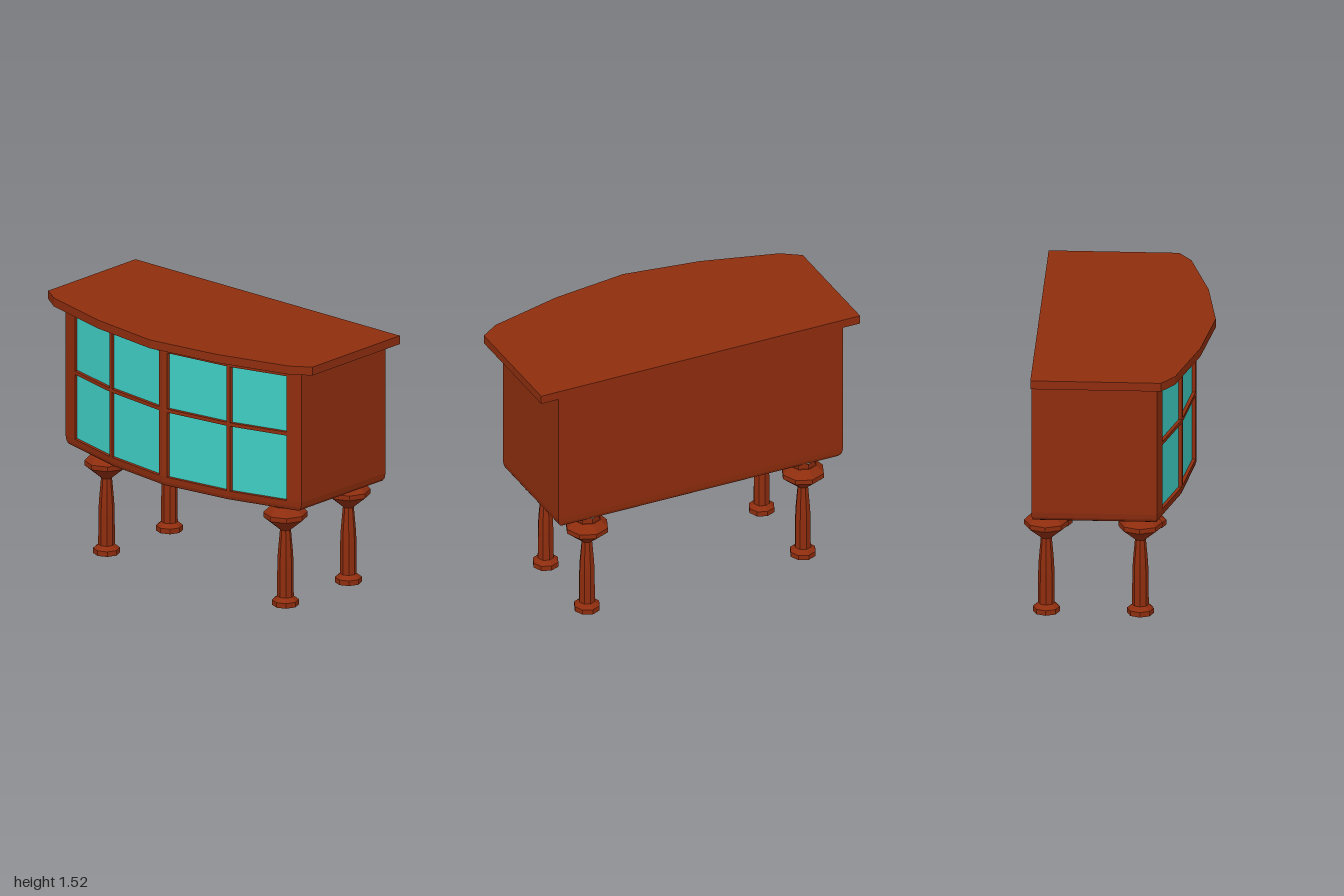
import * as THREE from 'three';

const W = 0.893;      // half width of the cabinet
const BACK = -0.472;  // plane of the back
const PANE_Y = [[0.68, 1.066], [1.087, 1.42]];
const PANE_X = [[-0.8, -0.457], [-0.434, -0.03], [0.03, 0.434], [0.457, 0.8]];

// Front of the cabinet in plan: a bow of four straight facets
function bowZ(x) {
  const a = Math.abs(x);
  return a < 0.45
    ? THREE.MathUtils.mapLinear(a, 0, 0.45, 0.415, 0.357)
    : THREE.MathUtils.mapLinear(a, 0.45, W, 0.357, 0.238);
}

// Points along the bow from x0 to x1, moved back by inset
function bowPoints(x0, x1, inset) {
  const kinks = [-0.45, 0, 0.45].filter((x) => x > x0 && x < x1);
  return [x0, ...kinks, x1].map((x) => [x, bowZ(x) - inset]);
}

// Upright prism over a plan outline of [x, z] points
function prism(outline, y0, y1, steps = 1) {
  const shape = new THREE.Shape(outline.map(([x, z]) => new THREE.Vector2(x, -z)));
  const geo = new THREE.ExtrudeGeometry(shape, { depth: y1 - y0, steps, bevelEnabled: false });
  return geo.rotateX(-Math.PI / 2).translate(0, y0, 0);
}

// Strip that follows the bow between two insets
function bowStrip(x0, x1, y0, y1, inset0, inset1) {
  return prism([...bowPoints(x0, x1, inset0), ...bowPoints(x0, x1, inset1).reverse()], y0, y1);
}

// Full cabinet plan with its front moved back by inset
const plan = (inset) => [[-W, BACK], ...bowPoints(-W, W, inset), [W, BACK]];

// Bottom of the cabinet with a rounded lower edge
function baseGeometry() {
  const levels = [[0.624, 0.963], [0.632, 0.982], [0.648, 0.994], [0.68, 1]];
  const geo = prism(plan(0), 0, 3, 3);
  const p = geo.attributes.position;
  for (let i = 0; i < p.count; i++) {
    const [y, s] = levels[Math.round(p.getY(i))];
    p.setXYZ(i, p.getX(i) * s, y, (p.getZ(i) + 0.03) * s - 0.03);
  }
  geo.computeVertexNormals();
  return geo;
}

// Eight-sided turned leg
function legGeometry() {
  const profile = [
    [0, 0], [0.076, 0], [0.076, 0.03], [0.047, 0.053], [0.046, 0.24], [0.043, 0.31],
    [0.031, 0.448], [0.125, 0.524], [0.125, 0.552], [0.08, 0.597], [0.074, 0.597], [0.074, 0.63],
  ].map(([r, y]) => new THREE.Vector2(r, y));
  const geo = new THREE.LatheGeometry(profile, 8).toNonIndexed();
  geo.computeVertexNormals();
  return geo;
}

export function createModel() {
  const model = new THREE.Group();
  model.name = 'bowFrontCabinet';
  const wood = new THREE.MeshStandardMaterial({ color: 0x8f2d0e });
  wood.name = 'wood';
  const glass = new THREE.MeshStandardMaterial({ color: 0x40d0c6 });
  glass.name = 'glass';

  const add = (name, geo, mat = wood) => {
    const mesh = new THREE.Mesh(geo, mat);
    mesh.name = name;
    model.add(mesh);
    return mesh;
  };

  // Top board
  const edge = [[1, 0.265], [0.89, 0.34], [0.45, 0.46]];
  const board = [[1, BACK], ...edge, [0, 0.523],
    ...edge.map(([x, z]) => [-x, z]).reverse(), [-1, BACK]];
  add('topBoard', prism(board, 1.47, 1.52));

  // Cabinet body
  add('carcass', prism(plan(0.026), 0.68, 1.47));
  add('base', baseGeometry());

  // Front frame: rails, corner stiles and bars
  const frame = (name, x0, x1, y0, y1) => add(name, bowStrip(x0, x1, y0, y1, 0, 0.026));
  frame('topRail', -W, W, 1.42, 1.47);
  frame('middleRail', -0.8, 0.8, 1.066, 1.087);
  const uprights = [-W, ...PANE_X.flat(), W];
  for (let i = 0; i < uprights.length; i += 2) {
    frame('upright', uprights[i], uprights[i + 1], 0.68, 1.42);
  }

  // Window panes, set back behind the frame
  for (const [x0, x1] of PANE_X) {
    for (const [y0, y1] of PANE_Y) add('windowPane', bowStrip(x0, x1, y0, y1, 0.02, 0.026), glass);
  }

  // Legs
  const leg = legGeometry();
  for (const x of [-0.677, 0.677]) {
    for (const z of [0.133, -0.398]) add(z > 0 ? 'frontLeg' : 'backLeg', leg).position.set(x, 0, z);
  }
  return model;
}
